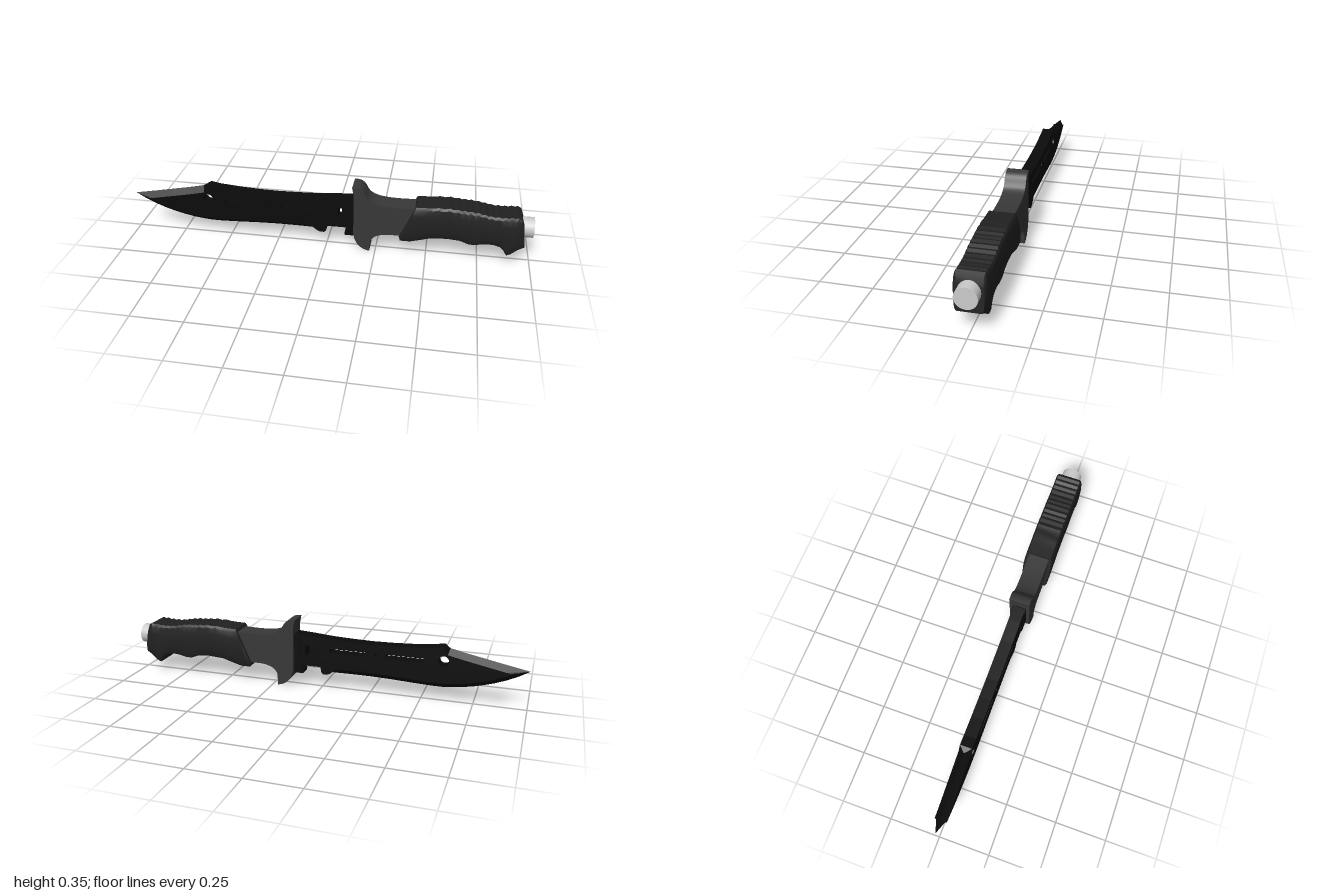
import * as THREE from 'three';
import { toCreasedNormals } from 'three/addons/utils/BufferGeometryUtils.js';

const V = (x, y) => new THREE.Vector2(x, y);
const pairs = (a) => a.map(([x, y]) => V(x, y));

function addMesh(parent, name, geometry, color) {
  const material = new THREE.MeshStandardMaterial({ color });
  const mesh = new THREE.Mesh(geometry, material);
  mesh.name = name;
  parent.add(mesh);
  return mesh;
}

// Flat plate centred on z = 0
function plate(shape, thickness) {
  const g = new THREE.ExtrudeGeometry(shape, { depth: thickness, bevelEnabled: false, curveSegments: 12 });
  return g.translate(0, 0, -thickness / 2);
}

function rectHole(x0, x1, y0, y1) {
  return new THREE.Path(pairs([[x0, y0], [x0, y1], [x1, y1], [x1, y0]]));
}

function roundHole(x, y, r) {
  return new THREE.Path().absarc(x, y, r, 0, Math.PI * 2, true);
}

function buildBlade(parent, color) {
  const half = 0.03;
  // Sharpened outline: clip point, tip, belly, heel
  const edge = pairs([
    [-0.6, 0.283], [-0.63, 0.272], [-0.7, 0.256], [-0.8, 0.236], [-0.9, 0.216], [-1, 0.197],
    [-0.95, 0.167], [-0.9, 0.143], [-0.85, 0.123], [-0.8, 0.107], [-0.75, 0.094], [-0.7, 0.084],
    [-0.65, 0.077], [-0.6, 0.073], [-0.55, 0.073], [-0.45, 0.077], [-0.35, 0.082], [-0.25, 0.085],
    [-0.15, 0.085], [-0.08, 0.084], [-0.045, 0.084],
  ]);
  // Inner bevel line, offset along the outline normal
  const last = edge.length - 1;
  const inner = edge.map((p, i) => {
    if (i === 0 || i === last) return p.clone();
    if (p.x === -1) return V(-0.92, 0.186);
    const d = edge[i + 1].clone().sub(edge[i - 1]).normalize();
    return V(p.x - d.y * 0.027, p.y + d.x * 0.027);
  });

  // Main plate with ricasso notch and cut-outs
  const shape = new THREE.Shape([
    ...inner,
    ...pairs([
      [-0.03, 0.078], [-0.01, 0.078], [0, 0.09], [0.003, 0.115], [0.105, 0.115], [0.093, 0.085],
      [0.095, 0.072], [0.135, 0.072], [0.2, 0.12], [0.2, 0.25], [0.135, 0.278], [0.06, 0.273],
      [-0.05, 0.264], [-0.15, 0.26], [-0.25, 0.258], [-0.35, 0.26], [-0.45, 0.265], [-0.55, 0.274],
    ]),
  ]);
  shape.holes.push(
    roundHole(-0.605, 0.212, 0.026), roundHole(-0.28, 0.205, 0.011),
    rectHole(-0.51, -0.325, 0.193, 0.216), rectHole(-0.225, -0.045, 0.193, 0.216),
    rectHole(0.06, 0.08, 0.168, 0.222),
  );
  addMesh(parent, 'bladePlate', plate(shape, half * 2), color);

  // Ground bevels on both faces
  const pos = [];
  for (const s of [1, -1]) {
    for (let i = 0; i < last; i++) {
      const a = [edge[i].x, edge[i].y, 0], b = [edge[i + 1].x, edge[i + 1].y, 0];
      const c = [inner[i].x, inner[i].y, s * half], d = [inner[i + 1].x, inner[i + 1].y, s * half];
      if (s > 0) pos.push(...a, ...b, ...c, ...b, ...d, ...c);
      else pos.push(...a, ...c, ...b, ...b, ...c, ...d);
    }
  }
  const g = new THREE.BufferGeometry();
  g.setAttribute('position', new THREE.Float32BufferAttribute(pos, 3));
  g.computeVertexNormals();
  addMesh(parent, 'bladeEdge', g, color).material.side = THREE.DoubleSide;

  // Collar where the blade meets the guard
  const collar = new THREE.BoxGeometry(0.03, 0.15, 0.07).translate(0.125, 0.195, 0);
  addMesh(parent, 'bladeCollar', collar, color);
}

function buildGuard(parent, color) {
  const s = new THREE.Shape();
  s.moveTo(0.13, 0.35);
  s.lineTo(0.15, 0.35);
  s.bezierCurveTo(0.2, 0.34, 0.185, 0.3, 0.225, 0.28);
  s.bezierCurveTo(0.265, 0.26, 0.33, 0.258, 0.45, 0.264);
  s.lineTo(0.45, 0.15);
  s.lineTo(0.38, 0.108);
  s.lineTo(0.32, 0.108);
  s.bezierCurveTo(0.26, 0.106, 0.22, 0.085, 0.224, 0.04);
  s.lineTo(0.222, 0.004);
  s.bezierCurveTo(0.18, 0.01, 0.145, 0.04, 0.14, 0.1);
  s.lineTo(0.138, 0.25);
  s.lineTo(0.138, 0.31);
  addMesh(parent, 'guard', toCreasedNormals(plate(s, 0.103), 0.6), color);
}

function buildGrip(parent, color) {
  // Stations: top x, top y, bottom x, bottom y, width factor
  const base = [
    [0.435, 0.262, 0.365, 0.105, 0.94], [0.441, 0.278, 0.372, 0.086, 1], [0.48, 0.279, 0.42, 0.086, 1],
    [0.52, 0.281, 0.47, 0.1, 1], [0.55, 0.286, 0.52, 0.115, 1], [0.6, 0.288, 0.6, 0.12, 1],
    [0.64, 0.285, 0.66, 0.115, 1], [0.67, 0.282, 0.7, 0.1, 1], [0.7, 0.281, 0.73, 0.098, 1],
    [0.735, 0.277, 0.76, 0.105, 1], [0.765, 0.271, 0.79, 0.11, 1], [0.795, 0.265, 0.82, 0.108, 1],
    [0.83, 0.263, 0.85, 0.1, 1], [0.86, 0.263, 0.868, 0.083, 1], [0.89, 0.266, 0.885, 0.056, 1],
    [0.92, 0.267, 0.905, 0.066, 1], [0.937, 0.258, 0.935, 0.092, 0.97], [0.95, 0.225, 0.965, 0.105, 0.87],
  ];
  // Shallow grooves along the back of the grip
  const stations = [];
  base.forEach((s, i) => {
    stations.push(s);
    if (i < 4 || i > 14) return;
    const m = s.map((v, k) => (v + base[i + 1][k]) / 2);
    m[1] -= 0.005;
    stations.push(m);
  });
  // Barrel cross-section: fraction from top to bottom, half width
  const side = [[0, 0.06], [0.07, 0.067], [0.25, 0.071], [0.5, 0.073], [0.75, 0.071], [0.92, 0.067], [1, 0.06]];
  const section = [...side, ...side.map(([t, z]) => [t, -z]).reverse()];
  const n = section.length;
  const pos = [], index = [];
  for (const [tx, ty, bx, by, w] of stations) {
    for (const [t, z] of section) pos.push(tx + (bx - tx) * t, ty + (by - ty) * t, z * w);
  }
  for (let i = 0; i < stations.length - 1; i++) {
    for (let j = 0; j < n; j++) {
      const a = i * n + j, b = i * n + (j + 1) % n;
      index.push(a, b, a + n, b, b + n, a + n);
    }
  }
  const end = (stations.length - 1) * n;
  for (let j = 1; j < n - 1; j++) index.push(0, j + 1, j, end, end + j, end + j + 1);
  const g = new THREE.BufferGeometry();
  g.setAttribute('position', new THREE.Float32BufferAttribute(pos, 3));
  g.setIndex(index);
  addMesh(parent, 'grip', toCreasedNormals(g, 0.4), color);
}

export function createModel() {
  const model = new THREE.Group();
  model.name = 'knife';
  const blade = new THREE.Group();
  blade.name = 'blade';
  model.add(blade);
  buildBlade(blade, 0x0b0b0b);
  buildGuard(model, 0x383838);
  buildGrip(model, 0x212121);

  // Round pommel cap
  const cap = new THREE.CylinderGeometry(0.05, 0.05, 0.08, 20).rotateZ(-Math.PI / 2).translate(0.96, 0.19, 0);
  addMesh(model, 'pommelCap', cap, 0xcccccc);
  return model;
}
